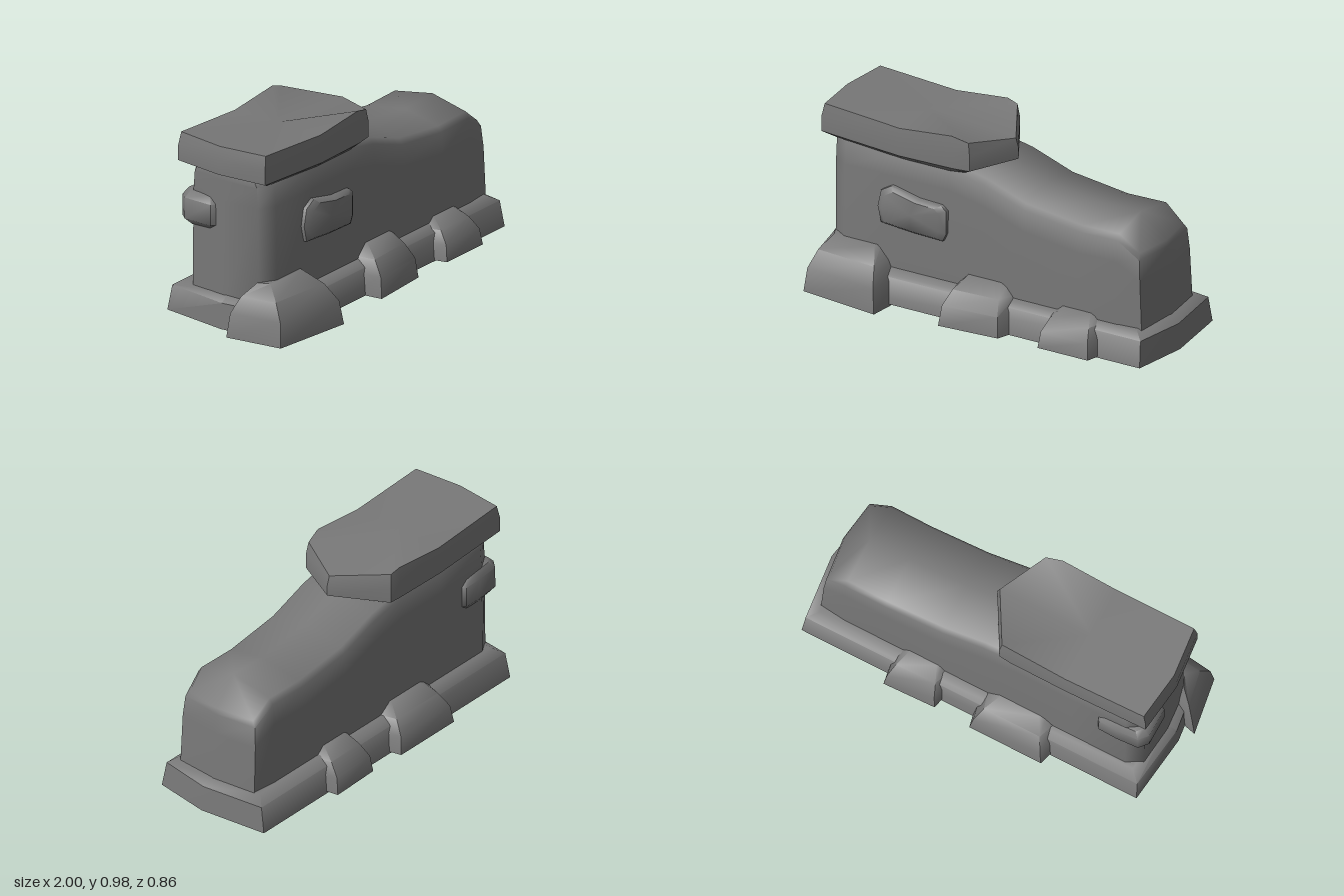
import * as THREE from 'three';
import { toCreasedNormals } from 'three/addons/utils/BufferGeometryUtils.js';

const stone = new THREE.MeshStandardMaterial({ color: 0x787878, side: THREE.DoubleSide });
stone.name = 'grey stone';

// Skin a stack of closed rings of [x, y, z]; an optional centre point closes the last ring.
function loft(name, rings, centre, crease = 0.9) {
  const pos = [];
  const tri = (...p) => {
    const [a, b, c] = p.map((q) => new THREE.Vector3(...q));
    const area = b.clone().sub(a).cross(c.clone().sub(a)).length();
    if (area > 1e-7) p.forEach((q) => pos.push(...q));
  };
  const n = rings[0].length;
  for (let r = 0; r + 1 < rings.length; r++) {
    for (let i = 0; i < n; i++) {
      const j = (i + 1) % n;
      const [lo, hi] = [rings[r], rings[r + 1]];
      tri(lo[i], lo[j], hi[j]);
      tri(lo[i], hi[j], hi[i]);
    }
  }
  const last = rings[rings.length - 1];
  if (centre) last.forEach((p, i) => tri(p, last[(i + 1) % n], centre));
  const g = new THREE.BufferGeometry();
  g.setAttribute('position', new THREE.Float32BufferAttribute(pos, 3));
  const mesh = new THREE.Mesh(toCreasedNormals(g, crease), stone);
  mesh.name = name;
  return mesh;
}

// Linear lookup in a list of [x, y] points
function along(points, x) {
  for (let i = 1; i < points.length; i++) {
    const [[x0, y0], [x1, y1]] = [points[i - 1], points[i]];
    if (x <= x1) return y0 + (y1 - y0) * Math.max(0, (x - x0) / (x1 - x0));
  }
  return points[points.length - 1][1];
}

// Wall body: straight sides rising to a worn, sloping ridge
function wallBody() {
  const xs = [-0.8, -0.5, -0.2, 0, 0.23, 0.55, 0.77];
  const ridge = [[-0.9, 0.85], [-0.2, 0.85], [0.04, 0.8], [0.23, 0.74], [0.55, 0.7], [0.77, 0.71]];
  const edge = [[-0.9, 0.82], [-0.2, 0.82], [0, 0.78], [0.23, 0.7], [0.55, 0.66], [0.77, 0.665], [0.9, 0.58]];
  const outline = [
    [-0.9, -0.02], [-0.88, 0.18], ...xs.map((x) => [x, 0.23]), [0.91, 0.215],
    [0.94, -0.02], [0.91, -0.265], ...[...xs].reverse().map((x) => [x, -0.28]), [-0.88, -0.23],
  ];
  const shoulder = (x) => along(edge, x);
  const at = (sx, sz, y) => outline.map(([x, z]) => [x > 0.8 ? x * sx : x, y(x), -0.02 + (z + 0.02) * sz]);
  const top = outline.map(([x]) => {
    const rx = Math.min(x, 0.77);
    return [rx, along(ridge, rx), -0.01];
  });
  return loft('wallBody', [
    at(1, 1, () => 0.15),
    at(0.985, 0.98, (x) => shoulder(x) - 0.14),
    at(0.975, 0.94, (x) => shoulder(x) - 0.03),
    at(0.965, 0.86, shoulder),
    top,
  ], null, 1.0);
}

// Foundation: open-bottomed skirt with a narrow sloping ledge
function foundation() {
  const outline = [[-0.95, 0], [-0.91, 0.3], [0.95, 0.3], [1, 0], [0.96, -0.37], [-0.91, -0.365]];
  const ring = (y, sx, sz) => outline.map(([x, z]) => [x * sx, y, -0.03 + (z + 0.03) * sz]);
  return loft('foundation', [ring(0.02, 1, 1), ring(0.155, 0.99, 0.93), ring(0.19, 0.935, 0.78), ring(0.19, 0.9, 0.6)]);
}

// Coping slab: sagging top, broken to a point at one end
function copingSlab() {
  const top = [[-0.95, 0.985], [-0.9, 0.99], [-0.47, 0.96], [-0.16, 0.99], [0.06, 0.93]];
  const under = [[-0.95, 0.81], [-0.5, 0.785], [-0.1, 0.785], [0.06, 0.8]];
  const outline = [
    [-0.95, -0.02], [-0.92, 0.25], [-0.47, 0.257], [-0.16, 0.257], [-0.07, 0.24],
    [0.06, -0.01], [-0.1, -0.285], [-0.16, -0.292], [-0.47, -0.292], [-0.92, -0.29],
  ];
  // t runs from the underside (0) to the top (1)
  const ring = (t, s) => outline.map(([x, z]) => {
    const [lo, hi] = [along(under, x), along(top, x)];
    return [-0.45 + (x + 0.45) * s, lo + (hi - lo) * t, -0.02 + (z + 0.02) * s];
  });
  const slab = [ring(0, 0.5), ring(0, 0.87), ring(0.17, 1), ring(0.62, 1), ring(1, 0.97)];
  return loft('copingSlab', slab, [-0.47, 0.962, -0.02], 0.8);
}

// Boulder against the foundation; side = -1 puts it on the back
function boulder(name, outline, height, floor, side) {
  const xs = outline.map((p) => p[0]);
  const cx = (Math.min(...xs) + Math.max(...xs)) / 2;
  const wall = side > 0 ? 0.2 : 0.25;
  const steps = [[0, 1, 1], [0.45, 0.93, 0.92], [0.76, 0.78, 0.62], [1, 0.55, 0.2]];
  const rings = steps.map(([t, sx, sz]) => outline.map(([x, z]) => [
    cx + (x - cx) * sx, floor + (height - floor) * t, side * (wall + (z - wall) * sz),
  ]));
  if (side < 0) rings.forEach((r) => r.reverse());
  const mesh = loft(name, rings, [cx, height, side * (wall - 0.03)], 0.95);
  return mesh;
}

// Raised brick on the front face
function frontBrick() {
  const outline = [
    [-0.58, 0.425], [-0.4, 0.41], [-0.22, 0.405], [-0.2, 0.45], [-0.2, 0.57],
    [-0.23, 0.595], [-0.36, 0.6], [-0.52, 0.635], [-0.58, 0.6], [-0.6, 0.51],
  ];
  const ring = (z, s) => outline.map(([x, y]) => [-0.4 + (x + 0.4) * s, 0.51 + (y - 0.51) * s, z]);
  return loft('frontBrick', [ring(0.2, 1), ring(0.245, 0.99), ring(0.266, 0.82)], [-0.4, 0.51, 0.266]);
}

// Raised brick wrapping the rear corner
function cornerBrick() {
  const outline = [
    [-0.92, -0.25], [-0.92, -0.09], [-0.87, -0.06], [-0.65, -0.2],
    [-0.63, -0.25], [-0.66, -0.295], [-0.76, -0.3], [-0.88, -0.295],
  ];
  const ring = (y, s) => outline.map(([x, z]) => [-0.78 + (x + 0.78) * s, y + (x + 0.78) * -0.06, -0.2 + (z + 0.2) * s]);
  return loft('cornerBrick', [ring(0.49, 0.7), ring(0.53, 1), ring(0.64, 0.99), ring(0.675, 0.75)], [-0.78, 0.675, -0.2]);
}

export function createModel() {
  const model = new THREE.Group();
  model.name = 'ruinedStoneWall';
  model.add(wallBody(), foundation(), copingSlab(), frontBrick(), cornerBrick());

  // Boulders: name, footprint as [x, distance from the middle], height, floor, side
  [
    ['frontCornerBoulder', [[-1, 0.07], [-0.95, 0.37], [-0.51, 0.425], [-0.485, 0.2]], 0.29, 0.01, 1],
    ['frontMiddleBoulder', [[-0.19, 0.2], [-0.16, 0.39], [0.17, 0.365], [0.23, 0.2]], 0.255, 0.02, 1],
    ['frontSmallBoulder', [[0.36, 0.2], [0.4, 0.365], [0.69, 0.365], [0.73, 0.2]], 0.215, 0.025, 1],
    ['backMiddleBoulder', [[-0.46, 0.25], [-0.41, 0.43], [-0.01, 0.43], [0.03, 0.25]], 0.24, 0.03, -1],
    ['backSmallBoulder', [[0.15, 0.25], [0.19, 0.42], [0.47, 0.43], [0.5, 0.25]], 0.225, 0.03, -1],
  ].forEach((b) => model.add(boulder(...b)));
  return model;
}
